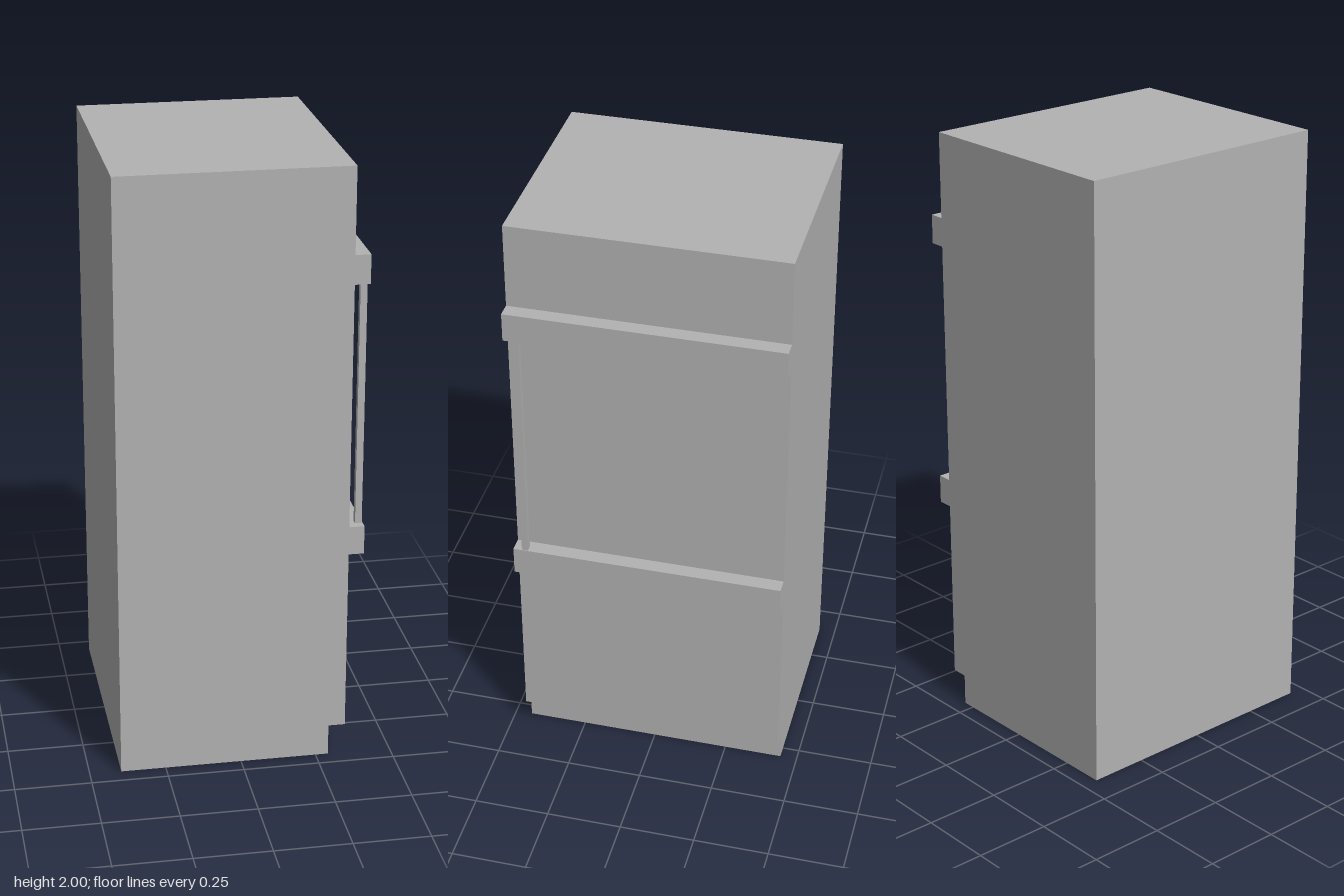
import * as THREE from 'three';

export function createModel() {
  const group = new THREE.Group();
  const grey = new THREE.MeshStandardMaterial({ color: 0xb2b2b2 });
  grey.name = 'light grey';

  const back = -0.397, front = 0.347, railFront = 0.397, halfWidth = 0.444;
  const rails = [[0.72, 0.815], [1.625, 1.72]]; // bottom and top of each rail

  // Tall cabinet: side profile with recessed plinth and two projecting rails
  const profile = new THREE.Shape();
  profile.moveTo(back, 0);
  profile.lineTo(0.292, 0);
  profile.lineTo(0.292, 0.105);
  profile.lineTo(front, 0.105);
  for (const [low, high] of rails) {
    profile.lineTo(front, low);
    profile.lineTo(railFront, low);
    profile.lineTo(railFront, high);
    profile.lineTo(front, high);
  }
  profile.lineTo(front, 2);
  profile.lineTo(back, 2);
  profile.closePath();
  const body = new THREE.ExtrudeGeometry(profile, { depth: halfWidth * 2, bevelEnabled: false });
  body.translate(0, 0, -halfWidth);
  const cabinet = new THREE.Mesh(body, grey);
  cabinet.name = 'cabinetWithRails';
  group.add(cabinet);

  // Slim vertical handle between the rails
  const low = rails[0][1], high = rails[1][0];
  const handle = new THREE.Mesh(new THREE.BoxGeometry(0.022, high - low, 0.021), grey);
  handle.position.set(0.383, (low + high) / 2, 0.4055);
  handle.name = 'doorHandle';
  group.add(handle);

  return group;
}
